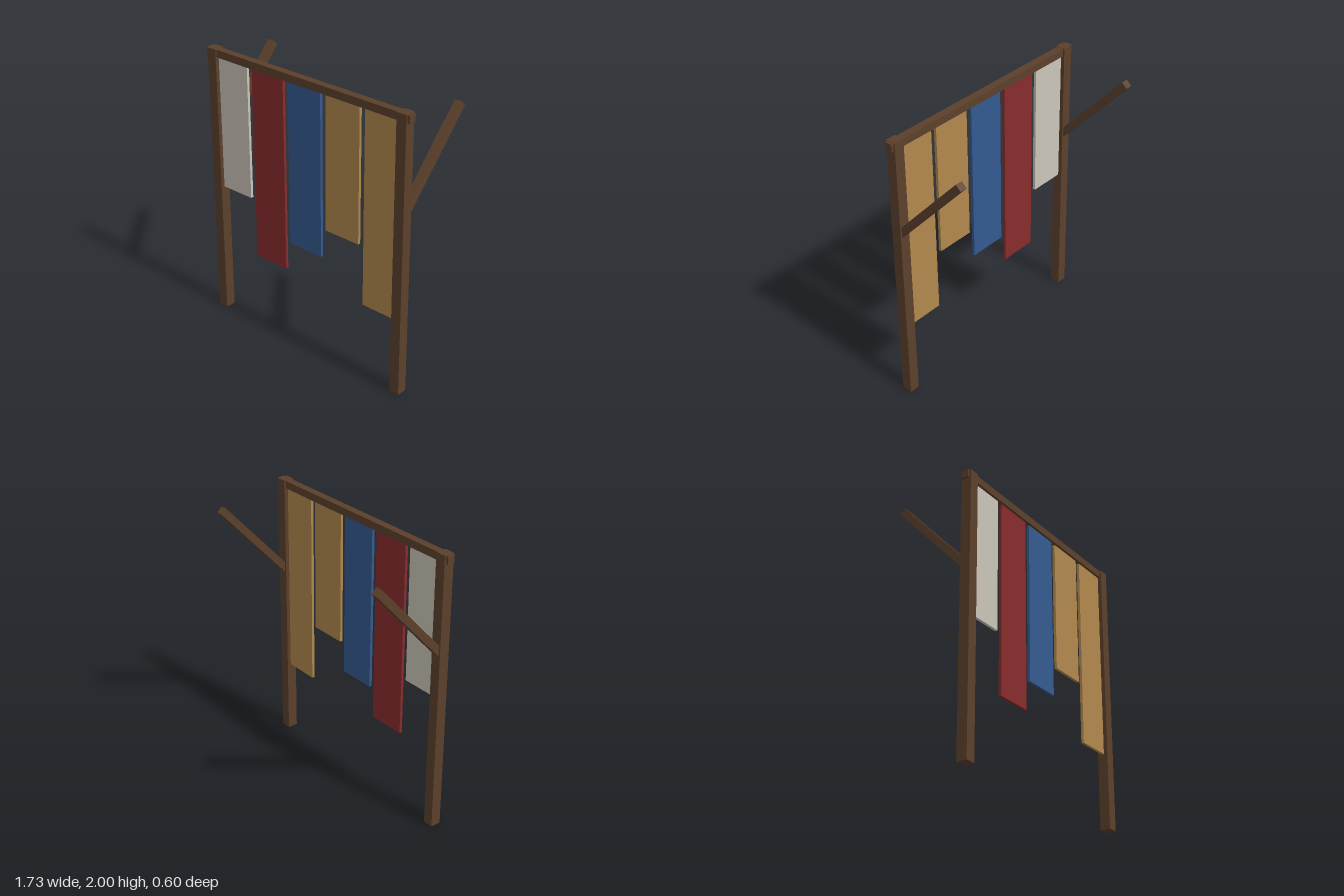
import * as THREE from 'three';

const material = (name, color) => {
  const m = new THREE.MeshStandardMaterial({ color });
  m.name = name;
  return m;
};

export function createModel() {
  const group = new THREE.Group();
  group.name = 'bannerRack';

  const wood = material('brown wood', 0x5c402b);
  const ivory = material('ivory cloth', 0xcbc6b9);
  const red = material('red cloth', 0x882c2d);
  const blue = material('blue cloth', 0x345a90);
  const tan = material('tan cloth', 0xb1884e);

  const box = (name, mat, [w, h, d], [x, y, z]) => {
    const mesh = new THREE.Mesh(new THREE.BoxGeometry(w, h, d), mat);
    mesh.name = name;
    mesh.position.set(x, y, z);
    group.add(mesh);
    return mesh;
  };

  const frameZ = 0.262;

  // Posts, each with a brace leaning up and back
  const low = { y: 1.315, z: 0.252 };
  const high = { y: 1.893, z: -0.277 };
  const rise = high.y - low.y;
  const run = high.z - low.z;
  for (const [side, s] of [['left', 1], ['right', -1]]) {
    box(`${side}Post`, wood, [0.075, 2, 0.075], [s * 0.81, 1, frameZ]);
    const brace = box(`${side}Brace`, wood, [0.052, Math.hypot(rise, run), 0.052],
      [s * 0.81, (low.y + high.y) / 2, (low.z + high.z) / 2]);
    brace.rotation.x = Math.atan2(run, rise);
  }

  // Crossbeam, its ends showing just outside the posts
  box('crossbeam', wood, [1.73, 0.054, 0.054], [0, 1.97, frameZ]);

  // Hanging cloths: material and height of the lower edge
  const top = 1.95;
  const cloths = [[ivory, 0.98], [red, 0.545], [blue, 0.763], [tan, 0.98], [tan, 0.545]];
  cloths.forEach(([mat, bottom], i) => {
    box(`cloth${i + 1}`, mat, [0.281, top - bottom, 0.02],
      [(i - 2) * 0.324, (top + bottom) / 2, frameZ]);
  });

  return group;
}
